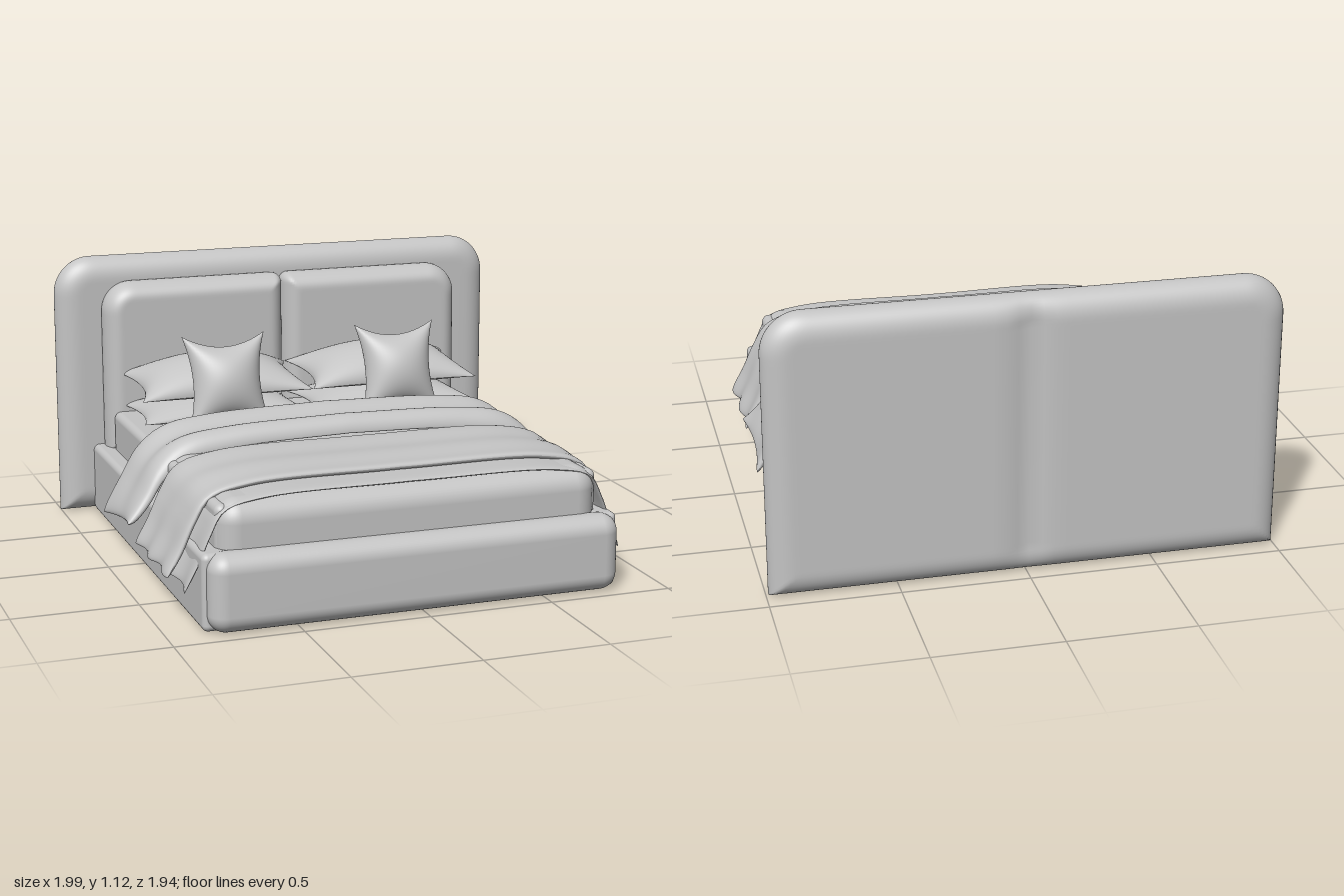
import * as THREE from 'three';
import { mergeGeometries } from 'three/addons/utils/BufferGeometryUtils.js';
import { RoundedBoxGeometry } from 'three/addons/geometries/RoundedBoxGeometry.js';

const fabric = new THREE.MeshStandardMaterial({ color: 0xc4c4c4, side: THREE.DoubleSide });
fabric.name = 'grey fabric';

// Closed soft form made of two sheets; point(u, v, side) with u, v in -1..1
function shell(point, nu = 40, nv = 40) {
  const ease = (t) => Math.sin((t * 2 - 1) * Math.PI / 2);
  const sheets = [1, -1].map((side) => {
    const g = new THREE.PlaneGeometry(1, 1, nu, nv);
    const p = g.attributes.position, uv = g.attributes.uv;
    for (let i = 0; i < p.count; i++) {
      p.setXYZ(i, ...point(side * ease(uv.getX(i)), ease(uv.getY(i)), side));
    }
    g.computeVertexNormals();
    return g;
  });
  return mergeGeometries(sheets);
}

// Upright padded board with rounded top corners and soft edges
function paddedBoard({ x0, x1, y0, y1, rl, rr, z, depth, soft, dent = 0 }) {
  const inset = (r, y) => {
    const dy = Math.max(0, y - (y1 - r));
    return r - Math.sqrt(Math.max(0, r * r - dy * dy));
  };
  const edgeDistance = (x, y) => {
    if (x < x0 + rl && y > y1 - rl) return rl - Math.hypot(x - x0 - rl, y - y1 + rl);
    if (x > x1 - rr && y > y1 - rr) return rr - Math.hypot(x - x1 + rr, y - y1 + rr);
    return Math.min(x - x0, x1 - x, y - y0, y1 - y);
  };
  return shell((u, v, side) => {
    const y = y0 + (y1 - y0) * (v + 1) / 2;
    const a = x0 + inset(rl, y), b = x1 - inset(rr, y);
    const x = a + (b - a) * (u + 1) / 2;
    const d = Math.min(1, Math.max(0, edgeDistance(x, y)) / soft);
    let off = depth * Math.sqrt(1 - (1 - d) ** 2);
    if (side < 0) off -= dent * Math.exp(-((x / 0.05) ** 2)) * d;
    return [x, y, z + side * off];
  }, 64, 60);
}

// Pillow lying flat, with pulled corners
function pillow(w, l, up, down, pinchX, pinchZ) {
  return shell((u, v, side) => {
    const puff = Math.pow(Math.max(0, (1 - u * u) * (1 - v * v)), 0.55);
    return [
      u * w * (1 - pinchX * (1 - v * v)),
      side * (side > 0 ? up : down) * puff,
      -v * l * (1 - pinchZ * (1 - u * u)),
    ];
  }, 30, 30);
}

// Cloth laid over the bed: half profile in x/y is mirrored, zRange and shift vary along it
function drape(profile, thick, zRange, shift) {
  const curve = new THREE.CatmullRomCurve3(profile.map(([x, y]) => new THREE.Vector3(x, y, 0)));
  return shell((u, v, side) => {
    const a = Math.min(1, Math.abs(u)), s = Math.sign(u) || 1;
    const p = curve.getPointAt(a), t = curve.getTangentAt(a);
    const [z0, z1] = zRange(a);
    const z = (z0 + z1) / 2 - v * (z1 - z0) / 2;
    const off = side * thick * Math.sqrt(Math.max(0, (1 - v ** 16) * (1 - a ** 40)));
    const [dx, dy] = shift(a, z, -v);
    return [s * (p.x - t.y * off + dx) - 0.02, p.y + t.x * off + dy, z];
  }, 80, 36);
}

export function createModel() {
  const bed = new THREE.Group();
  bed.name = 'bed';
  const add = (name, geometry, x = 0, y = 0, z = 0, tilt = 0) => {
    const m = new THREE.Mesh(geometry, fabric);
    m.name = name;
    m.position.set(x, y, z);
    m.rotation.x = tilt;
    bed.add(m);
  };
  // Rounded block given by its limits
  const block = (name, [x0, x1], [y0, y1], [z0, z1], r) => add(name,
    new RoundedBoxGeometry(x1 - x0, y1 - y0, z1 - z0, 6, r),
    (x0 + x1) / 2, (y0 + y1) / 2, (z0 + z1) / 2);

  // Headboard with a seam down the back, and two front pads
  add('headboard', paddedBoard({ x0: -1, x1: 0.99, y0: 0.01, y1: 1.13, rl: 0.16, rr: 0.16,
    z: -0.893, depth: 0.076, soft: 0.1, dent: 0.025 }));
  add('rightHeadPad', paddedBoard({ x0: -0.815, x1: -0.01, y0: 0.29, y1: 1.03, rl: 0.13, rr: 0.04,
    z: -0.79, depth: 0.09, soft: 0.07 }));
  add('leftHeadPad', paddedBoard({ x0: -0.01, x1: 0.805, y0: 0.29, y1: 1.03, rl: 0.04, rr: 0.13,
    z: -0.79, depth: 0.09, soft: 0.07 }));

  // Base, footboard and mattress
  block('base', [-0.86, 0.82], [0.01, 0.31], [-0.85, 0.9], 0.025);
  block('footboard', [-0.845, 0.81], [0.01, 0.315], [0.82, 0.97], 0.07);
  block('mattress', [-0.79, 0.755], [0.25, 0.475], [-0.73, 0.84], 0.03);
  block('duvet', [-0.79, 0.75], [0.2, 0.495], [-0.2, 0.885], 0.09);

  // Hanging duvet sides
  add('duvetSides', drape(
    [[0, 0.5], [0.6, 0.492], [0.74, 0.455], [0.79, 0.37], [0.83, 0.27], [0.88, 0.16]], 0.009,
    (a) => [0.15, 0.84 + 0.02 * a - 0.04 * a ** 8],
    (a, z) => [0.012 * a ** 6 * Math.sin(z * 24), -0.1 * a ** 8 * Math.max(0, z - 0.66)]));

  // Runner across the foot end
  add('runner', drape(
    [[0, 0.525], [0.6, 0.515], [0.76, 0.47], [0.82, 0.38], [0.87, 0.27], [0.92, 0.18]], 0.016,
    (a) => [0.25 + 0.01 * a ** 4, 0.72],
    (a, z) => [0.01 * a ** 8 * Math.sin(z * 30), 0.004 * Math.sin(z * 26)]));

  // Folded throw with a rumpled top and flared ends
  add('throw', drape(
    [[0, 0.555], [0.5, 0.54], [0.69, 0.51], [0.79, 0.44], [0.86, 0.33], [0.935, 0.21]], 0.02,
    (a) => [-0.195, 0.15 + 0.07 * a ** 3],
    (a, z, v) => [
      0.025 * a ** 10 * (v * v - 0.5),
      (1 - a ** 6) * (0.014 * Math.cos((z - 0.09) * 27) - 0.03 * Math.max(0, v) ** 8)
        + 0.03 * a ** 10 * (v + 0.2),
    ]));

  // Stacked pillows with a small cushion in front on each side
  [['right', -0.385, -0.4], ['left', 0.365, 0.365]].forEach(([side, x, cx]) => {
    add(side + 'LowerPillow', pillow(0.365, 0.2, 0.09, 0.035, 0.1, 0.08), x, 0.5, -0.535);
    add(side + 'UpperPillow', pillow(0.375, 0.205, 0.13, 0.035, 0.13, 0.1), x, 0.62, -0.53, 0.1);
    add(side + 'Cushion', pillow(0.18, 0.2, 0.095, 0.085, 0.2, 0.27), cx, 0.665, -0.315,
      Math.PI / 2 - 0.26);
  });
  return bed;
}
